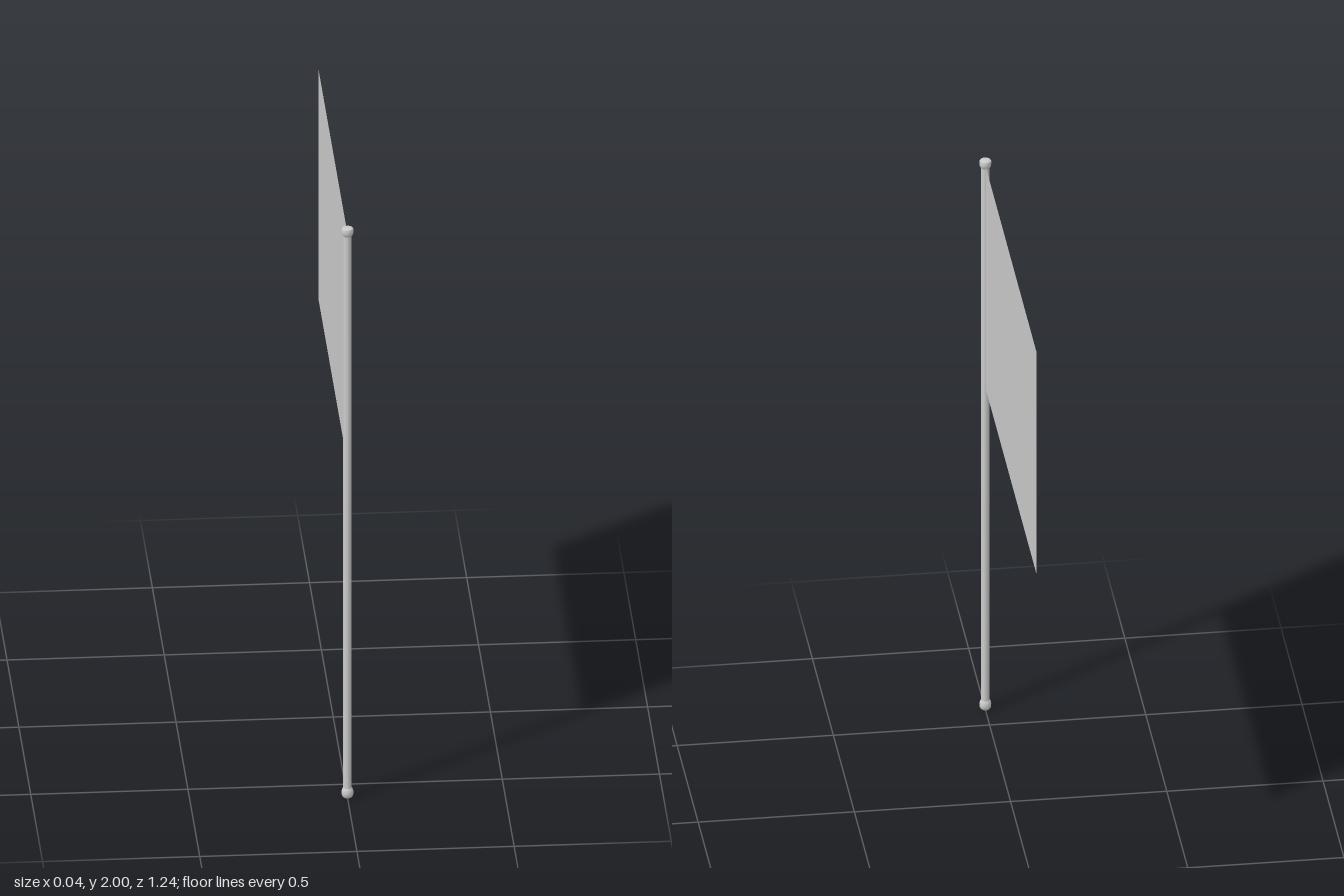
import * as THREE from 'three';

const POLE_Z = 0.601;

export function createModel() {
  const group = new THREE.Group();
  const grey = new THREE.MeshStandardMaterial({ color: 0xcccccc });
  const cloth = new THREE.MeshStandardMaterial({ color: 0xcccccc, side: THREE.DoubleSide });

  // turned part standing on the pole axis, profile as [radius, y]
  const turned = (name, profile) => {
    const points = profile.map(([r, y]) => new THREE.Vector2(r, y));
    const mesh = new THREE.Mesh(new THREE.LatheGeometry(points, 16), grey);
    mesh.name = name;
    mesh.position.z = POLE_Z;
    group.add(mesh);
  };

  // slim pole with a rounded foot and a flat-topped cap
  turned('pole', [[0.0135, 0.02], [0.0135, 1.985]]);
  turned('foot', [[0, 0], [0.012, 0.003], [0.018, 0.01], [0.019, 0.02], [0.018, 0.03], [0.0135, 0.037]]);
  turned('cap', [[0.0135, 1.972], [0.018, 1.979], [0.019, 1.986], [0.019, 1.996], [0.016, 2], [0, 2]]);

  // flat flag running back from the pole
  const front = 0.617, back = -0.62, top = 1.98, bottom = 1.172;
  const flag = new THREE.Mesh(new THREE.PlaneGeometry(front - back, top - bottom), cloth);
  flag.name = 'flag';
  flag.rotation.y = Math.PI / 2;
  flag.position.set(0, (top + bottom) / 2, (front + back) / 2);
  group.add(flag);

  return group;
}
